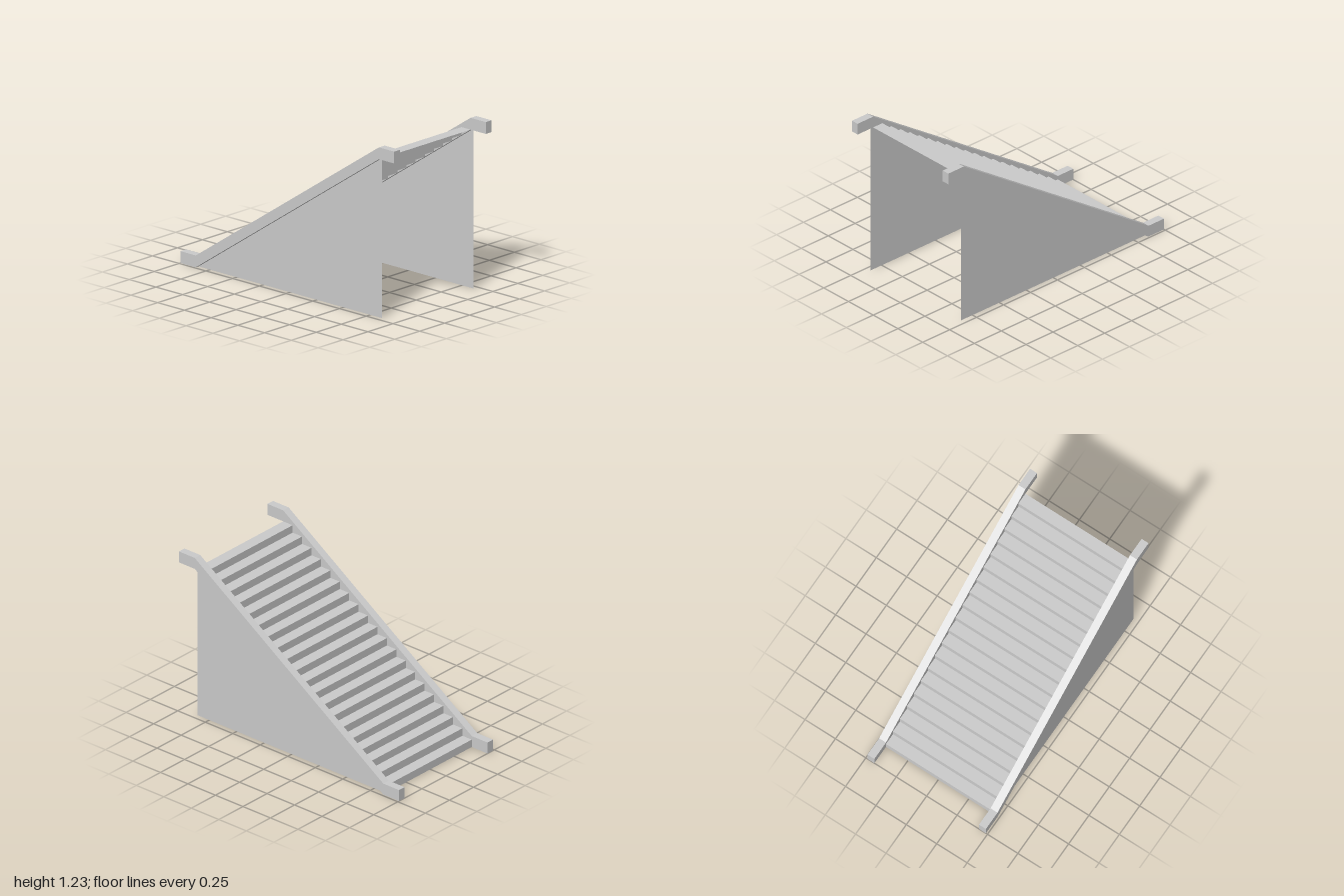
import * as THREE from 'three';

const STEPS = 20;
const RUN = 0.857;          // half length of the flight
const RISE = 1.145;         // height of the flight
const END = 1.0;            // half length including level rail ends
const RAIL_H = 0.085;
const RAIL_IN = 0.43, RAIL_OUT = 0.487;
const PANEL_Z = (RAIL_IN + RAIL_OUT) / 2;

const solid = new THREE.MeshStandardMaterial({ color: 0xcccccc, flatShading: true });
const sheet = new THREE.MeshStandardMaterial({ color: 0xcccccc, flatShading: true, side: THREE.DoubleSide });

function polygon(points) {
  return new THREE.Shape(points.map(([x, y]) => new THREE.Vector2(x, y)));
}

function addMesh(parent, name, geometry, material, x = 0, y = 0, z = 0) {
  const mesh = new THREE.Mesh(geometry, material);
  mesh.name = name;
  mesh.position.set(x, y, z);
  parent.add(mesh);
}

export function createModel() {
  const model = new THREE.Group();
  model.name = 'staircase';

  // Sloping rail with a level piece at each end
  const railGeometry = new THREE.ExtrudeGeometry(polygon([
    [-END, 0], [-RUN, 0], [RUN, RISE], [END, RISE],
    [END, RISE + RAIL_H], [RUN, RISE + RAIL_H], [-RUN, RAIL_H], [-END, RAIL_H],
  ]), { depth: RAIL_OUT - RAIL_IN, bevelEnabled: false });

  // Thin triangular side wall under the middle of each rail
  const panelGeometry = new THREE.ShapeGeometry(polygon([[-RUN, 0], [RUN, 0], [RUN, RISE]]));

  addMesh(model, 'leftRail', railGeometry, solid, 0, 0, RAIL_IN);
  addMesh(model, 'rightRail', railGeometry, solid, 0, 0, -RAIL_OUT);
  addMesh(model, 'leftSidePanel', panelGeometry, sheet, 0, 0, PANEL_Z);
  addMesh(model, 'rightSidePanel', panelGeometry, sheet, 0, 0, -PANEL_Z);

  // Folded sheet of risers and treads, open underneath
  const stepRun = 2 * RUN / STEPS, stepRise = RISE / STEPS, width = 2 * PANEL_Z;
  const riserGeometry = new THREE.PlaneGeometry(width, stepRise).rotateY(-Math.PI / 2);
  const treadGeometry = new THREE.PlaneGeometry(stepRun, width).rotateX(-Math.PI / 2);
  const steps = new THREE.Group();
  steps.name = 'steps';
  for (let i = 0; i < STEPS; i++) {
    const x = -RUN + i * stepRun;
    addMesh(steps, 'riser', riserGeometry, sheet, x, (i + 0.5) * stepRise);
    addMesh(steps, 'tread', treadGeometry, sheet, x + stepRun / 2, (i + 1) * stepRise);
  }
  model.add(steps);

  return model;
}
